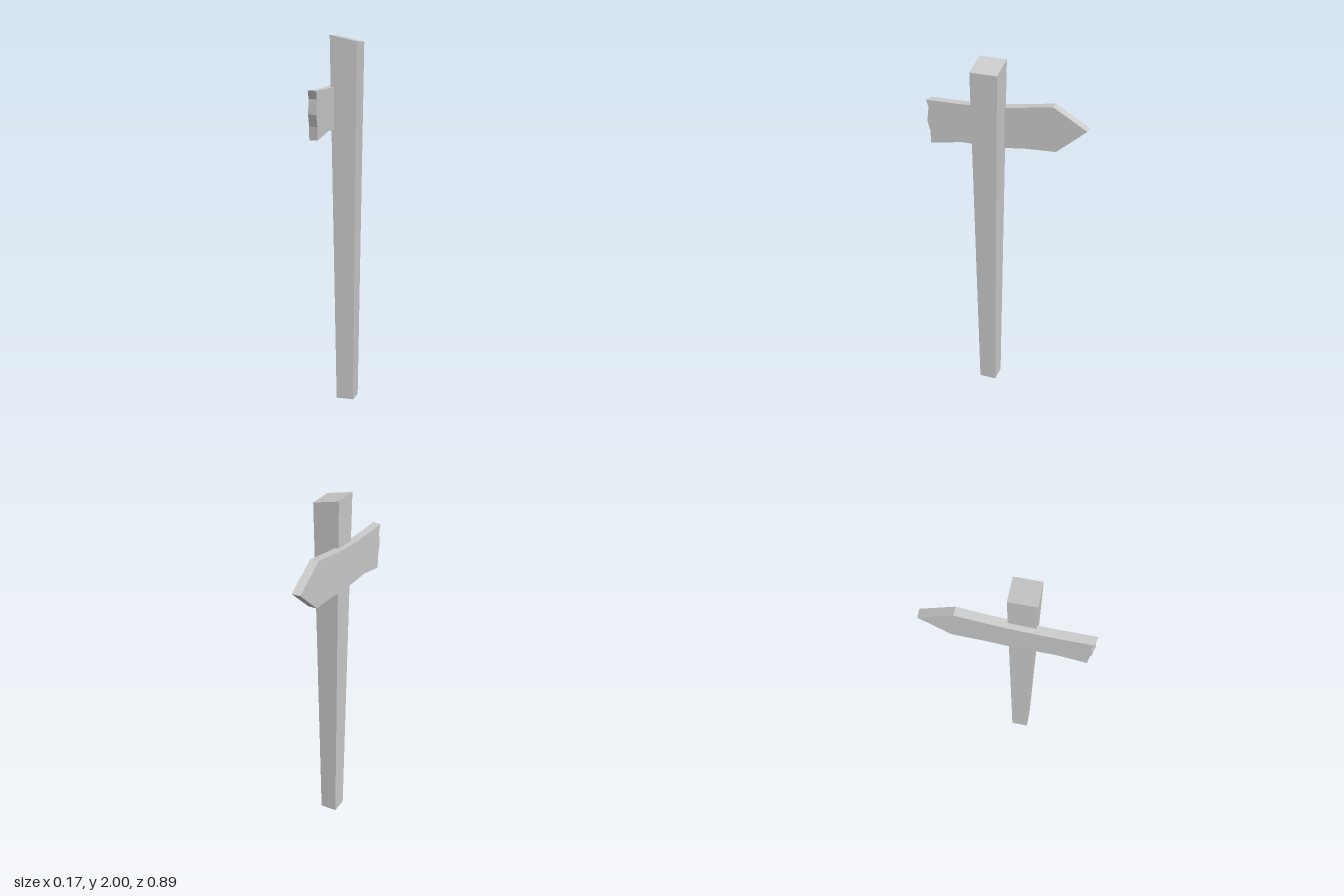
import * as THREE from 'three';

const material = new THREE.MeshStandardMaterial({ color: 0xcccccc, flatShading: true, side: THREE.DoubleSide });

// Square post, wider at the top, with a slanted top and an open bottom
function createPost() {
  const geometry = new THREE.BoxGeometry(1, 1, 1);
  const p = geometry.attributes.position;
  for (let i = 0; i < p.count; i++) {
    const top = p.getY(i) > 0;
    const width = top ? 0.148 : 0.095;
    const y = top ? (p.getX(i) < 0 ? 2 : 1.966) : 0;
    p.setXYZ(i, 0.012 + p.getX(i) * width, y, 0.072 + p.getZ(i) * width);
  }
  // Leave out the bottom face (fourth of the six sides)
  const index = Array.from(geometry.index.array);
  index.splice(18, 6);
  geometry.setIndex(index);
  geometry.clearGroups();
  geometry.computeVertexNormals();
  const post = new THREE.Mesh(geometry, material);
  post.name = 'post';
  return post;
}

// Bent arrow board with a ragged tail, outlined as (z, y)
function createArrowBoard() {
  const outline = [
    [0.447, 1.718], [0.245, 1.722], [0.14, 1.728], [0, 1.74], [-0.095, 1.755], [-0.26, 1.784],
    [-0.447, 1.675],
    [-0.283, 1.532], [-0.115, 1.522], [0, 1.507], [0.14, 1.5], [0.245, 1.5], [0.427, 1.465],
    [0.428, 1.535], [0.444, 1.597], [0.434, 1.675],
  ].map(([z, y]) => new THREE.Vector2(z, y));
  const thickness = 0.048;
  const geometry = new THREE.ExtrudeGeometry(new THREE.Shape(outline), { depth: thickness, bevelEnabled: false });
  // The tail is cut at a slight angle: shorter on the outer face
  const p = geometry.attributes.position;
  for (let i = 0; i < p.count; i++) {
    if (p.getX(i) > 0.4 && p.getZ(i) > thickness / 2) p.setX(i, p.getX(i) - 0.012);
  }
  geometry.rotateY(-Math.PI / 2);
  geometry.translate(-0.04, 0, 0);
  geometry.computeVertexNormals();
  const board = new THREE.Mesh(geometry, material);
  board.name = 'arrowBoard';
  return board;
}

export function createModel() {
  const signpost = new THREE.Group();
  signpost.name = 'signpost';
  signpost.add(createPost(), createArrowBoard());
  return signpost;
}
